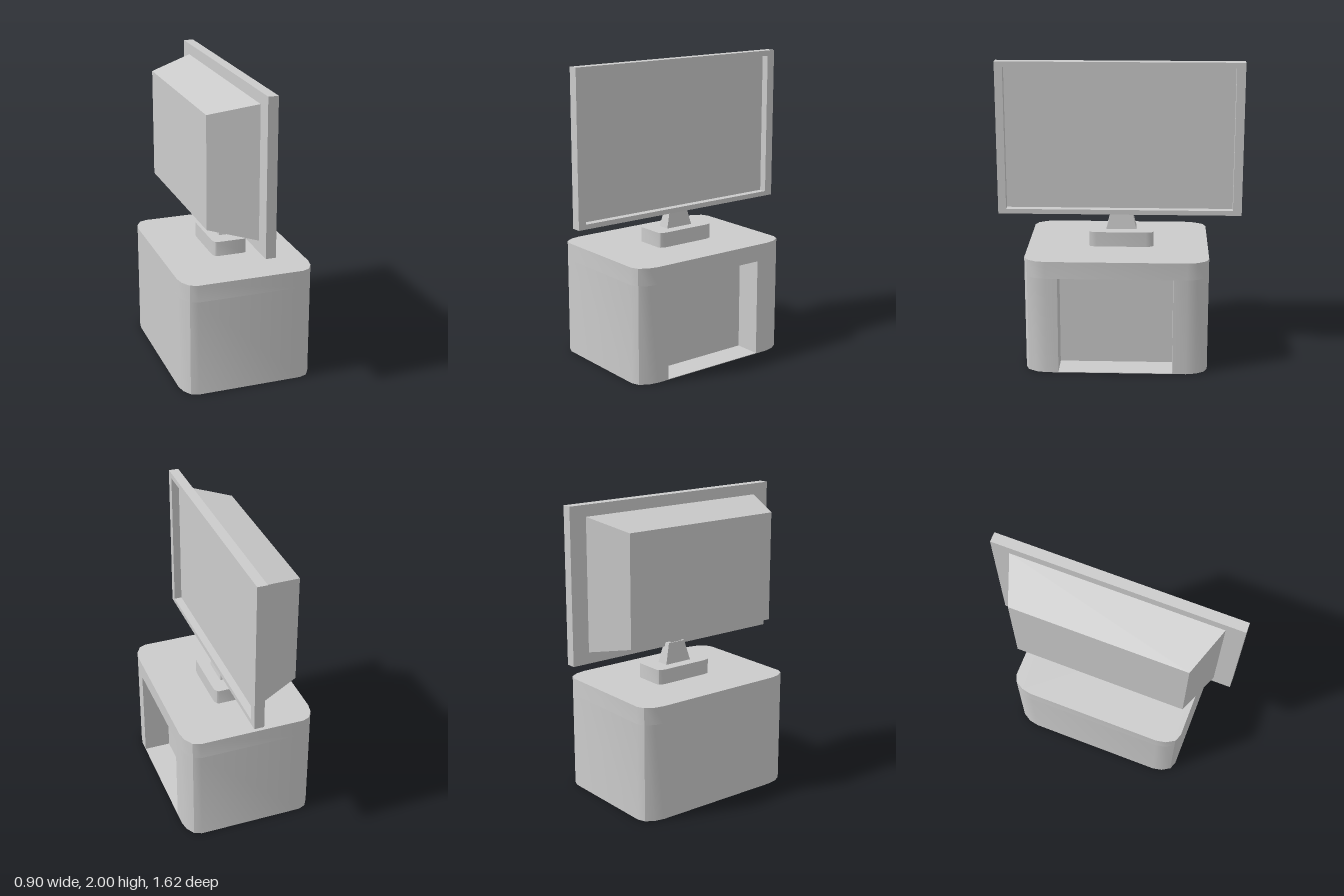
import * as THREE from 'three';
import { toCreasedNormals } from 'three/addons/utils/BufferGeometryUtils.js';

const grey = new THREE.MeshStandardMaterial({ color: 0xcccccc });

function add(group, name, geometry) {
  const mesh = new THREE.Mesh(geometry, grey);
  mesh.name = name;
  group.add(mesh);
  return mesh;
}

// Plan outline with softly cut corners; an optional notch opens the +x side.
function roundedPlan(w, d, zc, xc = 0, notch = null) {
  const cut = [[0, 0.118], [0.014, 0.064], [0.052, 0.017], [0.106, 0]]; // share of width, depth
  const corner = (sx, sz) => cut.map(([a, b]) =>
    new THREE.Vector2(xc + sx * w * (0.5 - a), -(zc + sz * d * (0.5 - b))));
  const points = [...corner(1, 1)];
  points.push(...corner(-1, 1).reverse(), ...corner(-1, -1), ...corner(1, -1).reverse());
  if (notch) {
    const { z0, z1, x } = notch, edge = xc + w / 2;
    points.push(new THREE.Vector2(edge, -z0), new THREE.Vector2(x, -z0),
      new THREE.Vector2(x, -z1), new THREE.Vector2(edge, -z1));
  }
  return new THREE.Shape(points);
}

// Raise a plan outline from y0 to y1.
function slab(shape, y0, y1) {
  const g = new THREE.ExtrudeGeometry(shape, { depth: y1 - y0, bevelEnabled: false });
  g.rotateX(-Math.PI / 2).translate(0, y0, 0);
  return toCreasedNormals(g, THREE.MathUtils.degToRad(30));
}

// Box between two corners.
function block(x0, x1, y0, y1, z0, z1) {
  return new THREE.BoxGeometry(x1 - x0, y1 - y0, z1 - z0)
    .translate((x0 + x1) / 2, (y0 + y1) / 2, (z0 + z1) / 2);
}

// Reshape a unit box: rule(x, y, z) receives signs and returns the corner.
function shapedBox(rule) {
  const g = new THREE.BoxGeometry(2, 2, 2).toNonIndexed();
  const p = g.attributes.position;
  for (let i = 0; i < p.count; i++) p.setXYZ(i, ...rule(p.getX(i) > 0, p.getY(i) > 0, p.getZ(i) > 0));
  g.computeVertexNormals();
  return g;
}

function rectangle(path, a0, a1, y0, y1) {
  path.moveTo(a0, y0);
  path.lineTo(a1, y0);
  path.lineTo(a1, y1);
  path.lineTo(a0, y1);
  path.closePath();
  return path;
}

export function createModel() {
  const model = new THREE.Group();
  model.name = 'televisionOnStand';

  // Cabinet with an open niche on its +x side
  const cabinet = new THREE.Group();
  cabinet.name = 'cabinet';
  const niche = { z0: -0.36, z1: 0.39, x: 0.27 };
  add(cabinet, 'cabinetBody', slab(roundedPlan(0.9, 1.2, 0.01, 0, niche), 0, 0.655));
  add(cabinet, 'cabinetTop', slab(roundedPlan(0.9, 1.2, 0.01), 0.655, 0.77));
  add(cabinet, 'nicheFloor', block(niche.x, 0.45, 0, 0.004, niche.z0, niche.z1));
  model.add(cabinet);

  // Foot and neck
  const stand = new THREE.Group();
  stand.name = 'stand';
  add(stand, 'foot', slab(roundedPlan(0.237, 0.43, -0.012, 0.006), 0.77, 0.87));
  add(stand, 'neck', shapedBox((x, y, z) => [
    y ? (x ? 0.03 : -0.022) : (x ? 0.048 : -0.038),
    y ? 1.01 : 0.87,
    y ? (z ? 0.052 : -0.077) : (z ? 0.09 : -0.112)]));
  add(stand, 'neckJoint', block(-0.015, 0.022, 1.0, 1.07, -0.06, 0.035));
  model.add(stand);

  // Screen facing +x
  const screen = new THREE.Group();
  screen.name = 'screen';
  const outline = rectangle(new THREE.Shape(), -0.81, 0.81, 0.98, 2);
  outline.holes.push(rectangle(new THREE.Path(), -0.757, 0.752, 1.012, 1.964));
  const frame = new THREE.ExtrudeGeometry(outline, { depth: 0.066, bevelEnabled: false });
  add(screen, 'screenFrame', frame.rotateY(Math.PI / 2).translate(0.015, 0, 0));
  add(screen, 'screenPanel', block(0.015, 0.03, 1.012, 1.964, -0.752, 0.757));
  add(screen, 'backHousing', shapedBox((x, y, z) => [
    x ? 0.015 : -0.287,
    x ? (y ? 1.925 : 1.055) : (y ? 1.855 : 1.122),
    x ? (z ? 0.69 : -0.692) : (z ? 0.577 : -0.58)]));
  model.add(screen);

  return model;
}
